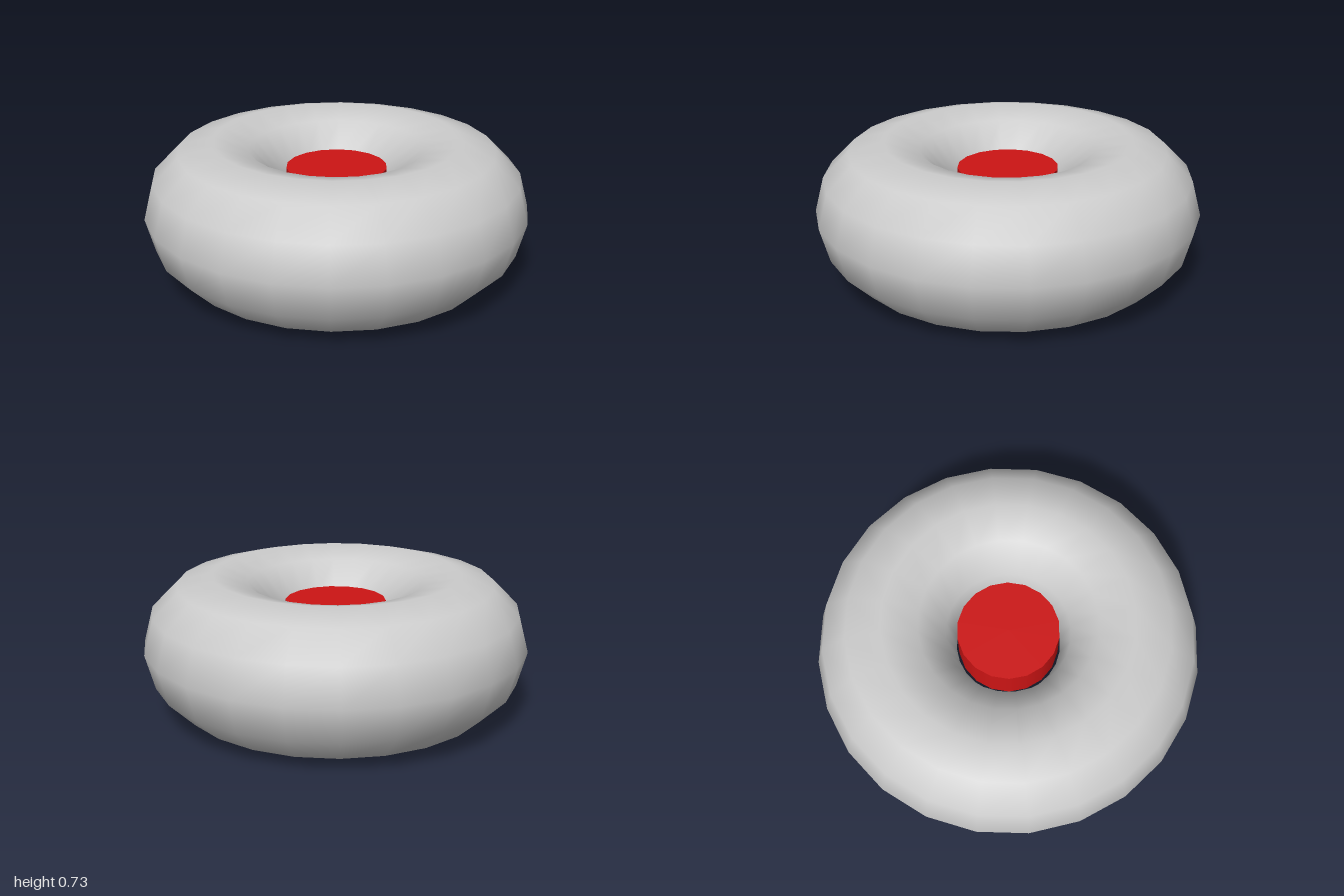
import * as THREE from 'three';

export function createModel() {
  const group = new THREE.Group();
  const tube = 0.364;

  // Smooth ring lying flat on the ground
  const ringGeometry = new THREE.TorusGeometry(1 - tube, tube, 12, 24);
  ringGeometry.rotateX(-Math.PI / 2);
  const ring = new THREE.Mesh(ringGeometry, new THREE.MeshStandardMaterial({ color: 0xcccccc }));
  ring.name = 'ring';
  ring.position.y = tube;
  group.add(ring);

  // Red disc floating in the upper half of the hole
  const bottom = 0.364, top = 0.575;
  const disc = new THREE.Mesh(
    new THREE.CylinderGeometry(0.262, 0.262, top - bottom, 18, 1, false, Math.PI / 2),
    new THREE.MeshStandardMaterial({ color: 0xcc1414 })
  );
  disc.name = 'centreDisc';
  disc.position.y = (top + bottom) / 2;
  group.add(disc);

  return group;
}
